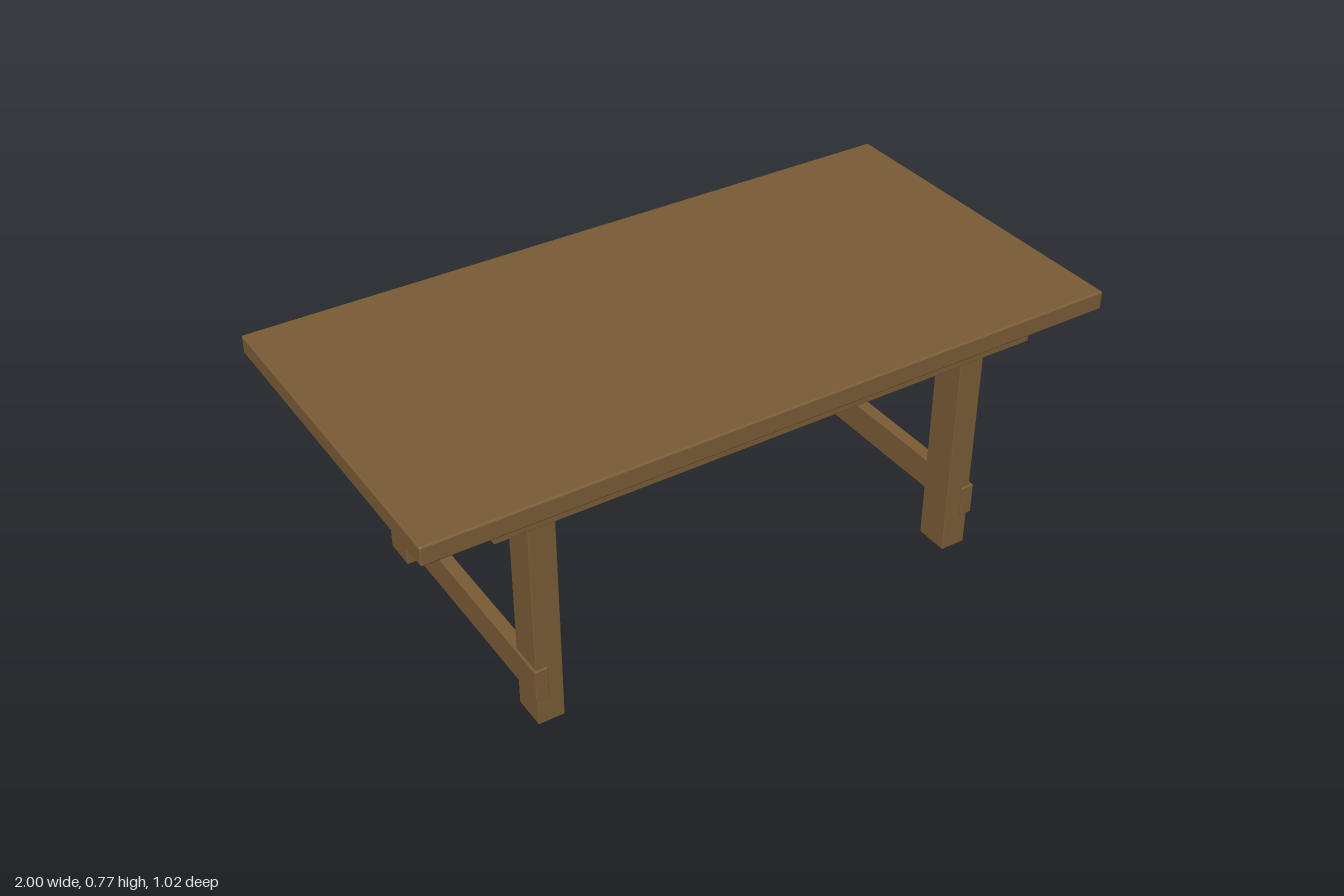
import * as THREE from 'three';
import { RoundedBoxGeometry } from 'three/addons/geometries/RoundedBoxGeometry.js';

export function createModel() {
  const model = new THREE.Group();
  model.name = 'table';
  const wood = new THREE.MeshStandardMaterial({ color: 0x7a5b35 });
  wood.name = 'brown wood';

  // Board with softened edges, given by its lower and upper limits on each axis
  function board(name, [x0, x1], [y0, y1], [z0, z1], radius = 0.003) {
    const geometry = new RoundedBoxGeometry(x1 - x0, y1 - y0, z1 - z0, 2, radius);
    const mesh = new THREE.Mesh(geometry, wood);
    mesh.name = name;
    mesh.position.set((x0 + x1) / 2, (y0 + y1) / 2, (z0 + z1) / 2);
    model.add(mesh);
  }

  // Top and the two stepped layers under it
  board('tableTop', [-1, 1], [0.717, 0.772], [-0.512, 0.512], 0.006);
  board('underTop', [-0.797, 0.797], [0.66, 0.718], [-0.462, 0.463]);
  board('apron', [-0.68, 0.68], [0.621, 0.662], [-0.425, 0.407]);

  // Legs
  for (const [side, x] of [['left', 0.65], ['right', -0.65]]) {
    for (const [end, z] of [['Front', 0.367], ['Back', -0.385]]) {
      board(`${side}${end}Leg`, [x - 0.038, x + 0.038], [0, 0.662], [z - 0.05, z + 0.05]);
    }
  }

  // Stretchers set into the outer faces of the legs, at slightly different heights
  board('leftStretcher', [0.66, 0.698], [0.105, 0.2], [-0.442, 0.423]);
  board('rightStretcher', [-0.694, -0.656], [0.088, 0.184], [-0.442, 0.423]);

  return model;
}
